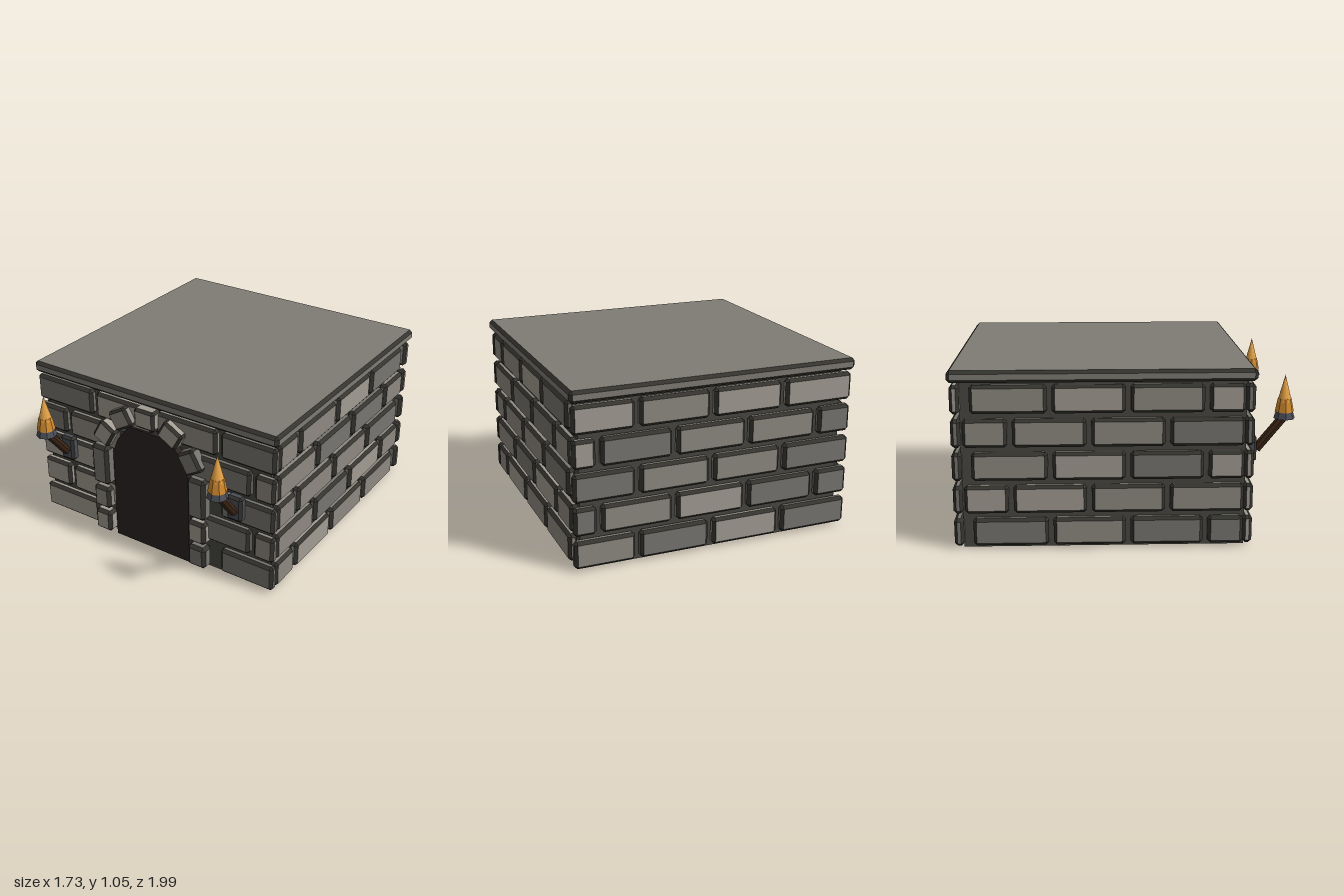
import * as THREE from 'three';
import { ConvexGeometry } from 'three/addons/geometries/ConvexGeometry.js';

const mat = (color, flatShading = true) => new THREE.MeshStandardMaterial({ color, flatShading });
const stones = [0xa29c92, 0x8e8981, 0x777570].map((c) => mat(c));
const edge = mat(0x35342f);
const mortar = mat(0x484741);
const slab = mat(0x7f7c75);
const dark = mat(0x2a2321);
const metal = mat(0x4b4e57);
const wood = mat(0x3c2617);
const flame = mat(0xd18a2e);
const flameTip = mat(0xe5a348, false);

let seed = 7;
const random = () => (seed = (seed * 16807) % 2147483647) / 2147483647;
const anyStone = () => stones[Math.floor(random() * stones.length)];

// Box with chamfered edges; flat faces in group 0, chamfers in group 1
function chamferBox(w, h, d, b) {
  const pts = [];
  for (const x of [-1, 1]) for (const y of [-1, 1]) for (const z of [-1, 1]) {
    const [X, Y, Z] = [x * w / 2, y * h / 2, z * d / 2];
    pts.push(new THREE.Vector3(X, Y - y * b, Z - z * b));
    pts.push(new THREE.Vector3(X - x * b, Y, Z - z * b));
    pts.push(new THREE.Vector3(X - x * b, Y - y * b, Z));
  }
  const hull = new ConvexGeometry(pts);
  const p = hull.attributes.position.array, n = hull.attributes.normal.array;
  const faces = [], chamfers = [];
  for (let i = 0; i < p.length; i += 9) {
    const flat = Math.max(Math.abs(n[i]), Math.abs(n[i + 1]), Math.abs(n[i + 2])) > 0.99;
    (flat ? faces : chamfers).push(...p.slice(i, i + 9));
  }
  const g = new THREE.BufferGeometry();
  g.setAttribute('position', new THREE.Float32BufferAttribute([...faces, ...chamfers], 3));
  g.computeVertexNormals();
  g.addGroup(0, faces.length / 3, 0);
  g.addGroup(faces.length / 3, chamfers.length / 3, 1);
  return g;
}

function add(parent, name, geometry, material, x = 0, y = 0, z = 0) {
  const m = new THREE.Mesh(geometry, material);
  m.name = name;
  m.position.set(x, y, z);
  parent.add(m);
  return m;
}

function block(parent, name, w, h, d, b, x, y, z, material = anyStone()) {
  return add(parent, name, chamferBox(w, h, d, b), [material, edge], x, y, z);
}

const ROW = 0.195, BRICK_H = 0.165, GAP = 0.028, DEPTH = 0.056;

// Runs the five courses of one wall; place() receives centre, width and height
function courses(odd, even, place, skip = () => false) {
  for (let r = 0; r < 5; r++) {
    const cuts = r % 2 ? even : odd;
    for (let i = 0; i < cuts.length - 1; i++) {
      if (skip(r, i)) continue;
      const a = cuts[i] + (i ? GAP / 2 : 0);
      const b = cuts[i + 1] - (i < cuts.length - 2 ? GAP / 2 : 0);
      place((a + b) / 2, b - a, 0.018 + BRICK_H / 2 + r * ROW);
    }
  }
}

function torch(x) {
  const g = new THREE.Group();
  g.name = 'torch';
  g.position.x = x;
  add(g, 'wallPlate', chamferBox(0.1, 0.16, 0.06, 0.015), [metal, edge], 0, 0.53, 0.742);
  const from = new THREE.Vector3(0, 0.52, 0.775), to = new THREE.Vector3(0, 0.715, 0.932);
  const handle = add(g, 'handle', new THREE.CylinderGeometry(0.028, 0.028, from.distanceTo(to), 8), wood);
  handle.position.lerpVectors(from, to, 0.5);
  handle.quaternion.setFromUnitVectors(new THREE.Vector3(0, 1, 0), to.clone().sub(from).normalize());
  add(g, 'cup', new THREE.CylinderGeometry(0.044, 0.063, 0.06, 8), metal, 0, 0.735, 0.934);
  add(g, 'flameBase', new THREE.CylinderGeometry(0.04, 0.056, 0.08, 8), flame, 0, 0.785, 0.934);
  add(g, 'flameTip', new THREE.ConeGeometry(0.042, 0.16, 16), flameTip, 0, 0.885, 0.934);
  return g;
}

export function createModel() {
  const root = new THREE.Group();
  root.name = 'stoneHut';

  // Solid core and roof slab
  add(root, 'core', new THREE.BoxGeometry(1.61, 0.99, 1.62), mortar, 0, 0.495, -0.125);
  block(root, 'roofSlab', 1.73, 0.07, 1.73, 0.018, 0, 1.013, -0.13, slab);

  // Brick walls
  const walls = new THREE.Group();
  walls.name = 'brickWalls';
  root.add(walls);
  const oddX = [-0.852, -0.41, 0.035, 0.48, 0.852];
  const evenX = [-0.852, -0.63, -0.185, 0.26, 0.705, 0.852];
  const doorGap = (r, i) => (r === 0 || r === 2) ? i === 1 || i === 2 : r % 2 === 1 && i === 2;
  courses(oddX, evenX, (x, w, y) => block(walls, 'frontBrick', w, BRICK_H, DEPTH, 0.018, x, y, 0.7), doorGap);
  courses(oddX, evenX, (x, w, y) => block(walls, 'backBrick', w, BRICK_H, DEPTH, 0.018, x, y, -0.957));
  const oddZ = [-0.875, -0.43, 0.012, 0.457, 0.675];
  const evenZ = [-0.92, -0.655, -0.21, 0.237, 0.675];
  for (const s of [-1, 1]) {
    courses(oddZ, evenZ, (z, w, y) => block(walls, 'sideBrick', DEPTH, BRICK_H, w, 0.018, s * 0.824, y, z));
  }

  // Dark arched doorway
  const arch = new THREE.Shape([
    [-0.275, 0.003], [0.275, 0.003], [0.275, 0.6], [0.235, 0.7], [0.145, 0.808],
    [-0.145, 0.808], [-0.235, 0.7], [-0.275, 0.6],
  ].map(([x, y]) => new THREE.Vector2(x, y)));
  add(root, 'doorway', new THREE.ExtrudeGeometry(arch, { depth: 0.06, bevelEnabled: false }), dark, 0, 0, 0.672);

  // Door jambs
  const surround = new THREE.Group();
  surround.name = 'doorSurround';
  root.add(surround);
  for (const s of [-1, 1]) {
    for (const [y0, y1] of [[0.02, 0.168], [0.19, 0.342], [0.362, 0.632]]) {
      block(surround, 'jambStone', 0.124, y1 - y0, 0.085, 0.02, s * 0.353, (y0 + y1) / 2, 0.734);
    }
  }

  // Arch stones fanned around the top of the doorway
  const centres = [[-0.31, 0.728], [-0.18, 0.863], [-0.003, 0.912], [0.175, 0.863], [0.31, 0.728]];
  centres.forEach(([x, y], i) => {
    const stone = block(surround, 'archStone', 0.145, 0.125, 0.085, 0.016, x, y, 0.734);
    stone.rotation.z = (2 - i) * Math.PI / 6;
  });

  // Wall torches
  root.add(torch(-0.615), torch(0.615));
  return root;
}
